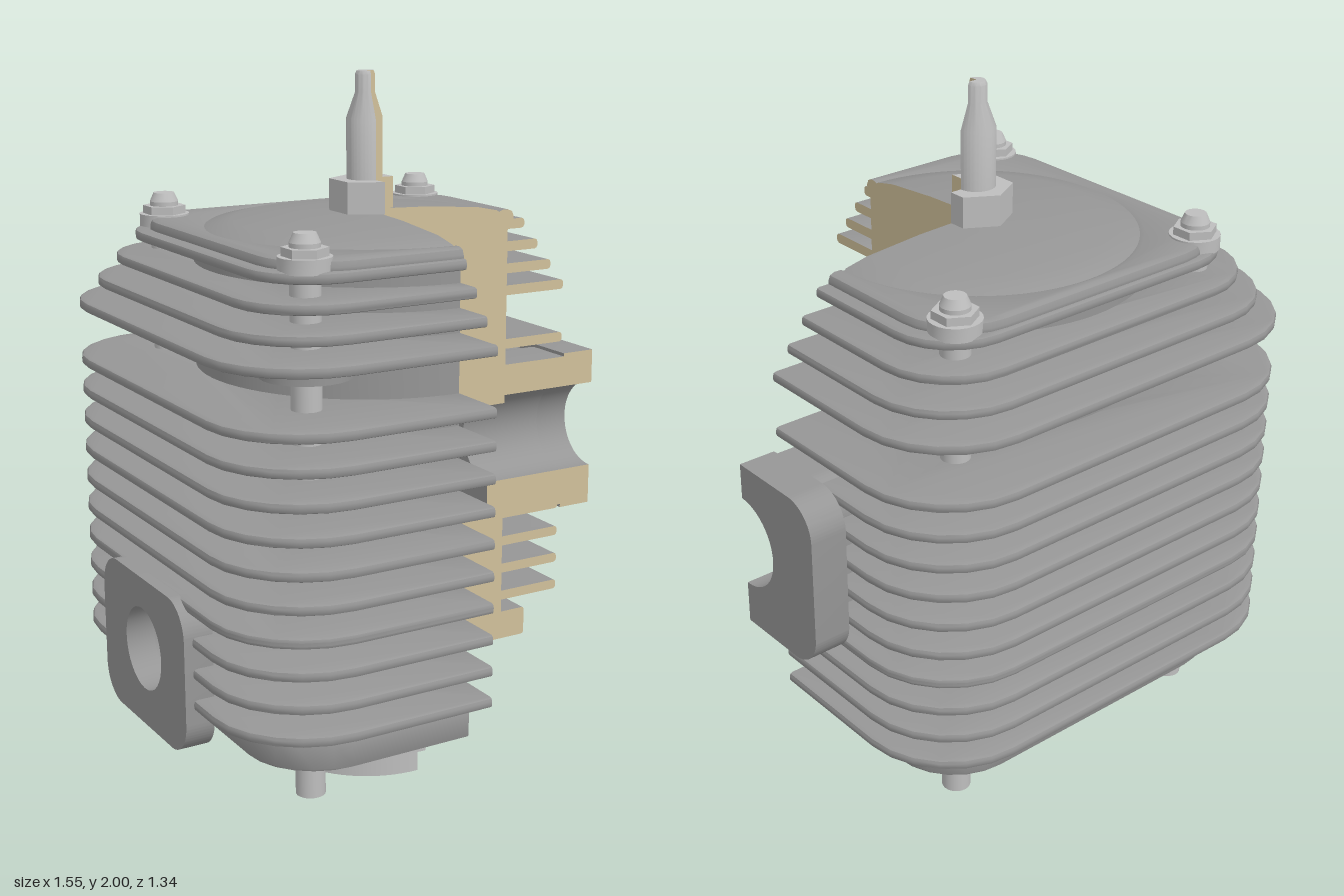
import * as THREE from 'three';
import { mergeGeometries, toCreasedNormals } from 'three/addons/utils/BufferGeometryUtils.js';

const material = (name, color, side = THREE.FrontSide) => {
  const m = new THREE.MeshStandardMaterial({ color, side });
  m.name = name;
  return m;
};
const BORE = 0.295, CORE = 0.49, RAD = Math.PI / 180;

// Points of an arc in the ground plane (0 deg = +x, 90 deg = +z)
function arc(r, from, to) {
  const n = Math.max(2, Math.ceil(Math.abs(to - from) / 5));
  return Array.from({ length: n + 1 }, (_, i) => {
    const a = (from + (to - from) * i / n) * RAD;
    return new THREE.Vector2(r * Math.cos(a), r * Math.sin(a));
  });
}
const V = (x, y) => new THREE.Vector2(x, y);

// Extrude a ground-plane outline upwards, keeping the cut faces flat
function slab(points, y0, y1, bevel = 0, holes = []) {
  const shape = new THREE.Shape(points);
  holes.forEach(h => shape.holes.push(new THREE.Path(h)));
  const depth = y1 - y0 - 2 * bevel;
  const g = new THREE.ExtrudeGeometry(shape, {
    depth, bevelEnabled: bevel > 0, bevelSize: bevel, bevelThickness: bevel, bevelSegments: 2, steps: 1
  });
  g.rotateX(Math.PI / 2).translate(0, (y0 + y1) / 2 + depth / 2, 0);
  const p = g.attributes.position;
  if (bevel) for (let i = 0; i < p.count; i++) {
    if (p.getZ(i) > 0.3) p.setX(i, Math.min(p.getX(i), 0));
    if (p.getX(i) > 0.3) p.setZ(i, Math.min(p.getZ(i), 0));
  }
  return g;
}

// Three-quarter turn of a closed profile, with both cut ends capped
function revolve(pairs) {
  const pts = pairs.map(([r, y]) => V(r, y));
  const lathe = new THREE.LatheGeometry([...pts, pts[0]], 54, Math.PI / 2, Math.PI * 1.5);
  const cap = new THREE.ShapeGeometry(new THREE.Shape(pts));
  const parts = [lathe, cap, cap.clone().rotateY(-Math.PI / 2)].map(g => g.toNonIndexed());
  return mergeGeometries(parts);
}

// Three-quarter rounded rectangle around the barrel, open for the ports
function plateOutline(hx, hz, r, { exhaust = false, intake = false } = {}) {
  const inner = 0.47, zEnd = exhaust ? -0.16 : 0;
  const corner = (cx, cz, from) => arc(r, from, from + 90).filter((_, i) => i % 3 === 0)
    .map(p => p.add(V(cx, cz)));
  const notch = intake ? [V(-hx, 0.15), V(-0.5, 0.15), V(-0.5, -0.15), V(-hx, -0.15)] : [];
  const end = 360 + Math.asin(zEnd / inner) / RAD;
  return [V(0, hz), ...corner(-hx + r, hz - r, 90), ...notch, ...corner(-hx + r, -hz + r, 180),
    ...corner(hx - r, -hz + r, 270), V(hx, zEnd), ...arc(inner, end, 90)];
}

// Rounded side flange in the z-y plane, extruded along x; half keeps only z <= 0
function sideBlock(x0, x1, hz, y0, y1, r, holeY, holeR, half) {
  const s = new THREE.Shape();
  s.moveTo(0, y0).lineTo(hz - r, y0).absarc(hz - r, y0 + r, r, -Math.PI / 2, 0, false)
    .absarc(hz - r, y1 - r, r, 0, Math.PI / 2, false).lineTo(0, y1);
  if (half) {
    s.lineTo(0, holeY + holeR).absarc(0, holeY, holeR, Math.PI / 2, -Math.PI / 2, true);
  } else {
    s.absarc(-hz + r, y1 - r, r, Math.PI / 2, Math.PI, false)
      .absarc(-hz + r, y0 + r, r, Math.PI, Math.PI * 1.5, false);
    s.holes.push(new THREE.Path().absarc(0, holeY, holeR, 0, Math.PI * 2, true));
  }
  const g = new THREE.ExtrudeGeometry(s, { depth: x1 - x0, bevelEnabled: false, curveSegments: 16 });
  return g.rotateY(Math.PI / 2).translate(x0, 0, 0);
}

export function createModel() {
  const model = new THREE.Group(), body = new THREE.Group();
  model.name = 'cutawayCylinder';
  body.name = 'engineBody';
  body.position.x = -0.05;
  model.add(body);
  const cast = material('castGray', 0x969696);
  const steel = material('lightSteel', 0xbebebe);
  const section = material('sectionTan', 0xd0c09a, THREE.DoubleSide);

  // Split a geometry into surface, bore wall and cut faces
  function add(name, geometry, base = cast) {
    const g = toCreasedNormals(geometry.index ? geometry.toNonIndexed() : geometry, 0.5);
    g.clearGroups();
    const p = g.attributes.position, lists = [[], [], []];
    for (let i = 0; i < p.count; i += 3) {
      const c = [i, i + 1, i + 2], e = 1e-4;
      const cut = c.every(k => Math.abs(p.getX(k)) < e && p.getZ(k) > -e)
        || c.every(k => Math.abs(p.getZ(k)) < e && p.getX(k) > -e);
      const bore = c.every(k => Math.abs(Math.hypot(p.getX(k), p.getZ(k)) - BORE) < e);
      lists[cut ? 2 : bore ? 1 : 0].push(...c);
    }
    g.setIndex(lists.flat());
    let start = 0;
    lists.forEach((l, i) => { g.addGroup(start, l.length, i); start += l.length; });
    const mesh = new THREE.Mesh(g, [base, steel, section]);
    mesh.name = name;
    body.add(mesh);
  }

  // Barrel in layers: transfer passages, port windows, exhaust duct, plain bore
  const end = r => 360 - Math.asin(0.16 / r) / RAD;
  const windows = [[278, 241], [234, 208], [152, 126]];
  const windowWall = [];
  let at = end(BORE);
  for (const [a, b] of windows) {
    windowWall.push(...arc(BORE, at, a), ...arc(0.44, a, b));
    at = b;
  }
  windowWall.push(...arc(BORE, at, 119), ...arc(0.46, 119, 90));
  const backPassage = [...arc(0.46, 241, 278), ...arc(0.335, 278, 241)];
  add('lowerBarrel', slab([...arc(CORE, 90, 360), ...arc(BORE, 360, 90), ...arc(0.335, 90, 119),
    ...arc(0.46, 119, 90)], 0.21, 0.65, 0, [backPassage]));
  add('portBarrel', slab([...arc(CORE, 90, end(CORE)), ...windowWall], 0.65, 0.82));
  add('ductBarrel', slab([...arc(CORE, 90, end(CORE)), ...arc(BORE, end(BORE), 90)], 0.82, 0.98));
  add('upperBarrel', slab([...arc(CORE, 90, 360), ...arc(BORE, 360, 90)], 0.98, 1.27));
  add('spigot', revolve([[BORE, 0.08], [0.335, 0.08], [0.335, 0.21], [BORE, 0.21]]), steel);
  add('baseFlange', slab(plateOutline(0.57, 0.55, 0.2), 0.21, 0.3, 0.008));

  // Barrel cooling fins
  for (let i = 0; i < 10; i++) {
    const y = 0.355 + i * 0.09;
    const ports = { exhaust: y > 0.65 && y < 1, intake: y < 0.56 };
    add('barrelFin', slab(plateOutline(0.69, 0.66, 0.27, ports), y - 0.015, y + 0.015, 0.01));
  }

  // Cylinder head with combustion chamber, shrinking fins and top plate
  add('head', revolve([[0.25, 1.27], [CORE, 1.27], [CORE, 1.55], [0.45, 1.575], [0.38, 1.59],
    [0.2, 1.605], [0.065, 1.61], [0.065, 1.36], [0.11, 1.35], [0.19, 1.29], [0.25, 1.28]]));
  for (let i = 0; i < 4; i++) {
    const y = 1.33 + i * 0.067, s = i * 0.05;
    add('headFin', slab(plateOutline(0.69 - s, 0.66 - s, 0.27 - i * 0.03), y - 0.015, y + 0.015, 0.01));
  }
  add('headTopPlate', slab(plateOutline(0.49, 0.485, 0.17), 1.525, 1.575, 0.02));

  // Exhaust port on the +x side, cut in half
  add('exhaustBoss', sideBlock(0.43, 0.71, 0.25, 0.62, 1.1, 0.1, 0.87, 0.135, true));
  add('exhaustFlange', sideBlock(0.71, 0.82, 0.32, 0.61, 1.11, 0.1, 0.87, 0.135, true));
  // Intake port on the -x side
  add('intakeBoss', sideBlock(-0.64, -0.42, 0.22, 0.23, 0.61, 0.1, 0.43, 0.12, false));
  add('intakeFlange', sideBlock(-0.725, -0.64, 0.275, 0.2, 0.64, 0.1, 0.43, 0.12, false));

  // Piston with domed crown and hollow skirt
  add('piston', revolve([[0, 0.5], [0.265, 0.475], [0.265, 0], [0.293, 0], [0.293, 0.58],
    [0.2, 0.59], [0.1, 0.598], [0, 0.6]]), steel);

  // Spark plug
  add('sparkPlug', revolve([[0, 1.33], [0.065, 1.33], [0.065, 1.61], [0.055, 1.62], [0.055, 1.87],
    [0.03, 1.94], [0.03, 1.99], [0.025, 2], [0, 2]]), steel);
  add('sparkPlugHex', slab([V(0, 0.104), V(-0.09, 0.052), V(-0.09, -0.052), V(0, -0.104),
    V(0.09, -0.052), V(0.09, 0), V(0, 0)], 1.61, 1.7), steel);

  // Head studs with bosses, washers and nuts; the fourth is cut away
  for (const [x, z] of [[-0.43, -0.43], [0.43, -0.43], [-0.43, 0.43]]) {
    const post = (name, rTop, r, y0, y1, sides, base) => add(name,
      new THREE.CylinderGeometry(rTop, r, y1 - y0, sides).translate(x, (y0 + y1) / 2, z), base);
    post('stud', 0.041, 0.041, 0.1, 1.615, 24, steel);
    post('studTip', 0.03, 0.041, 1.615, 1.64, 24, steel);
    post('washer', 0.072, 0.072, 1.54, 1.58, 24, steel);
    post('nut', 0.062, 0.062, 1.58, 1.603, 6, steel);
    post('studBoss', 0.125, 0.125, 1.27, 1.32, 24, cast);
  }
  return model;
}
